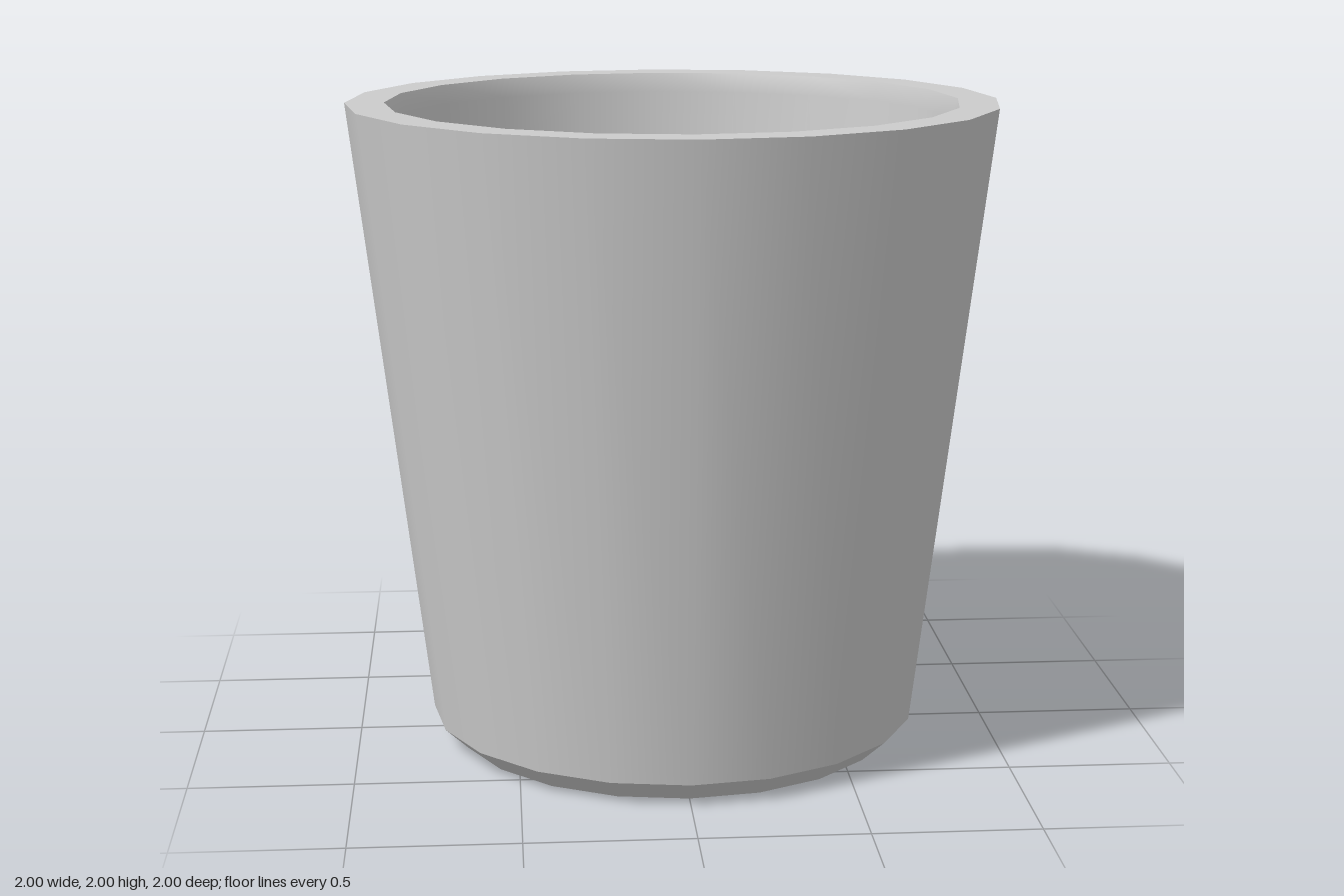
import * as THREE from 'three';

const SIDES = 20;

export function createModel() {
  const group = new THREE.Group();
  group.name = 'cup';
  const material = new THREE.MeshStandardMaterial({ color: 0xcccccc });

  // Each strip is smooth in itself; the joins between strips stay sharp.
  // Points are [radius, height], running from the base out, up and back inside.
  const strips = {
    base: [[0, 0], [0.69, 0]],
    footBevel: [[0.69, 0], [0.765, 0.07]],
    outerWall: [[0.765, 0.07], [1, 2]],
    rim: [[1, 2], [0.88, 2]],
    // Inner wall with a slight lip and a softened corner at the floor
    interior: [[0.88, 2], [0.86, 1.94], [0.68, 0.22], [0.62, 0.14], [0, 0.14]],
  };

  for (const [name, profile] of Object.entries(strips)) {
    const points = profile.map(([r, y]) => new THREE.Vector2(r, y));
    const mesh = new THREE.Mesh(new THREE.LatheGeometry(points, SIDES), material);
    mesh.name = name;
    group.add(mesh);
  }
  return group;
}
